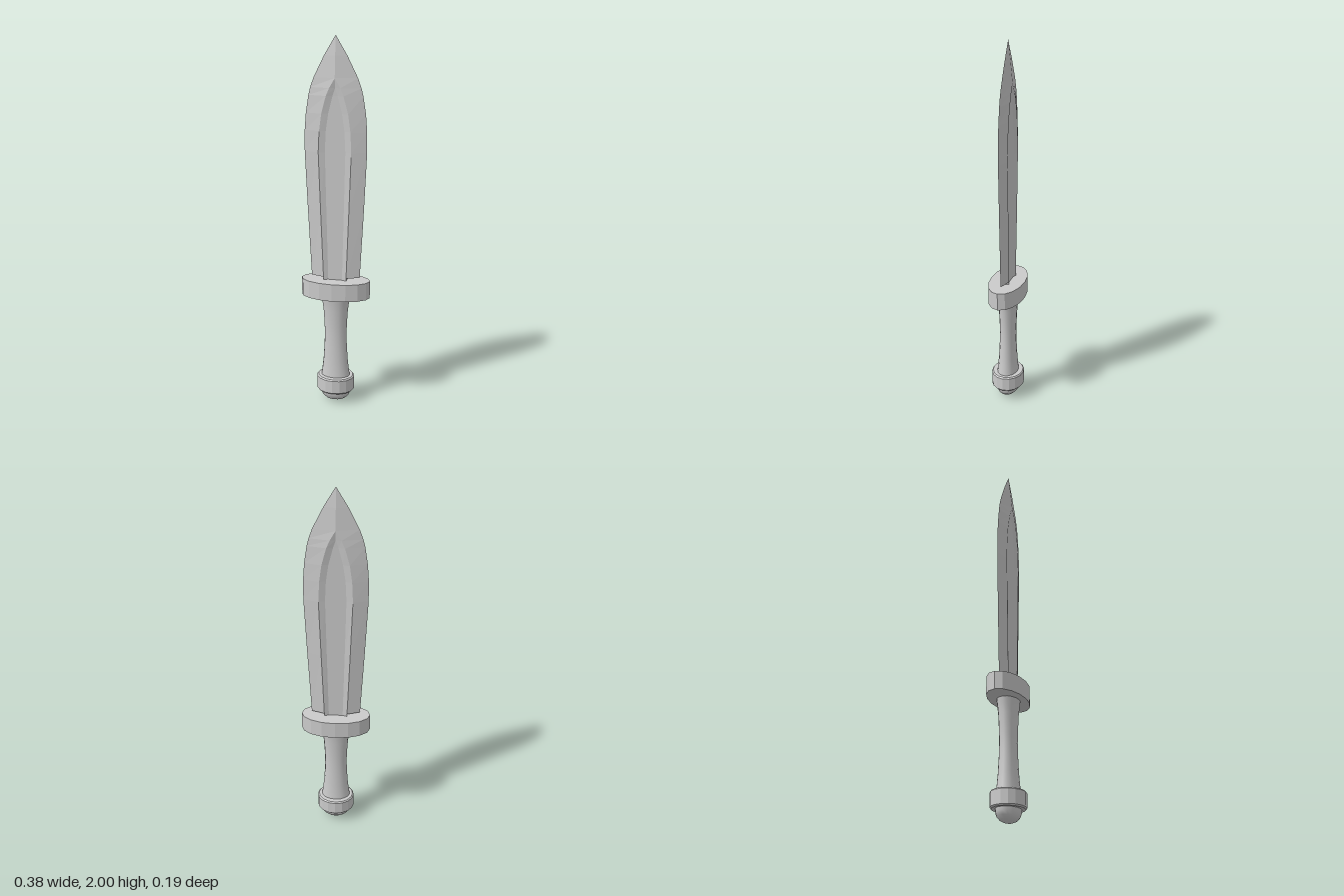
import * as THREE from 'three';

const SIDES = 16;
const flat = new THREE.MeshStandardMaterial({ color: 0xcccccc, flatShading: true });
const smooth = new THREE.MeshStandardMaterial({ color: 0xcccccc });

// Oval turned part: profile of [radius, y] from bottom to top, squashed in depth
function turned(name, profile, depth, material) {
  const points = profile.map(([r, y]) => new THREE.Vector2(r, y));
  const geometry = new THREE.LatheGeometry(points, SIDES);
  geometry.scale(1, 1, depth);
  const mesh = new THREE.Mesh(geometry, material);
  mesh.name = name;
  return mesh;
}

// Blade lofted through ten-point sections with a hollow fuller on both faces
function bladeGeometry() {
  // y, edge half width, ridge half width, ridge depth, fuller floor half width, floor depth
  const rows = [
    [0.68, 0.062, 0.062, 0.024, 0.038, 0.015],
    [0.73, 0.062, 0.062, 0.024, 0.038, 0.015],
    [0.73, 0.132, 0.062, 0.024, 0.038, 0.015],
    [1.10, 0.151, 0.076, 0.025, 0.047, 0.015],
    [1.41, 0.165, 0.087, 0.025, 0.054, 0.015],
    [1.52, 0.164, 0.082, 0.025, 0.049, 0.015],
    [1.61, 0.157, 0.070, 0.025, 0.036, 0.015],
    [1.70, 0.143, 0.046, 0.025, 0.013, 0.015],
    [1.74, 0.133, 0.029, 0.024, 0.000, 0.016],
    [1.79, 0.115, 0.000, 0.023, 0.000, 0.023],
    [1.90, 0.060, 0.000, 0.012, 0.000, 0.012],
    [2.00, 0.000, 0.000, 0.000, 0.000, 0.000],
  ];
  const positions = [];
  const indices = [];
  for (const [y, w, r, rz, f, fz] of rows) {
    const half = [[w, 0], [r, rz], [f, fz], [-f, fz], [-r, rz]];
    for (const s of [1, -1]) {
      for (const [x, z] of half) positions.push(s * x, y, s * z);
    }
  }
  const n = 10;
  for (let i = 0; i < rows.length - 1; i++) {
    for (let j = 0; j < n; j++) {
      const a = i * n + j;
      const b = i * n + ((j + 1) % n);
      // Section runs from +x through +z to -x, so the outside is a, a + n, b
      indices.push(a, a + n, b, b, a + n, b + n);
    }
  }
  const geometry = new THREE.BufferGeometry();
  geometry.setAttribute('position', new THREE.Float32BufferAttribute(positions, 3));
  geometry.setIndex(indices);
  geometry.computeVertexNormals();
  return geometry;
}

export function createModel() {
  const model = new THREE.Group();
  model.name = 'dagger';

  const blade = new THREE.Mesh(bladeGeometry(), flat);
  blade.name = 'blade';
  model.add(blade);

  // Oval guard plate
  model.add(turned('guard', [[0, 0.62], [0.188, 0.62], [0.188, 0.715], [0, 0.715]], 0.51, flat));

  // Waisted grip
  model.add(turned('grip', [
    [0.082, 0.14], [0.076, 0.18], [0.069, 0.24], [0.063, 0.33], [0.061, 0.40],
    [0.063, 0.46], [0.068, 0.54], [0.075, 0.59], [0.082, 0.63],
  ], 0.72, smooth));

  // Pommel collar with softened rims
  model.add(turned('pommelCollar', [
    [0, 0.065], [0.097, 0.065], [0.104, 0.072], [0.104, 0.145], [0.097, 0.152], [0, 0.152],
  ], 0.86, flat));

  // Rounded pommel end
  model.add(turned('pommelCap', [
    [0, 0], [0.03, 0.003], [0.055, 0.012], [0.073, 0.028], [0.081, 0.048], [0.083, 0.07],
  ], 0.76, smooth));

  return model;
}
